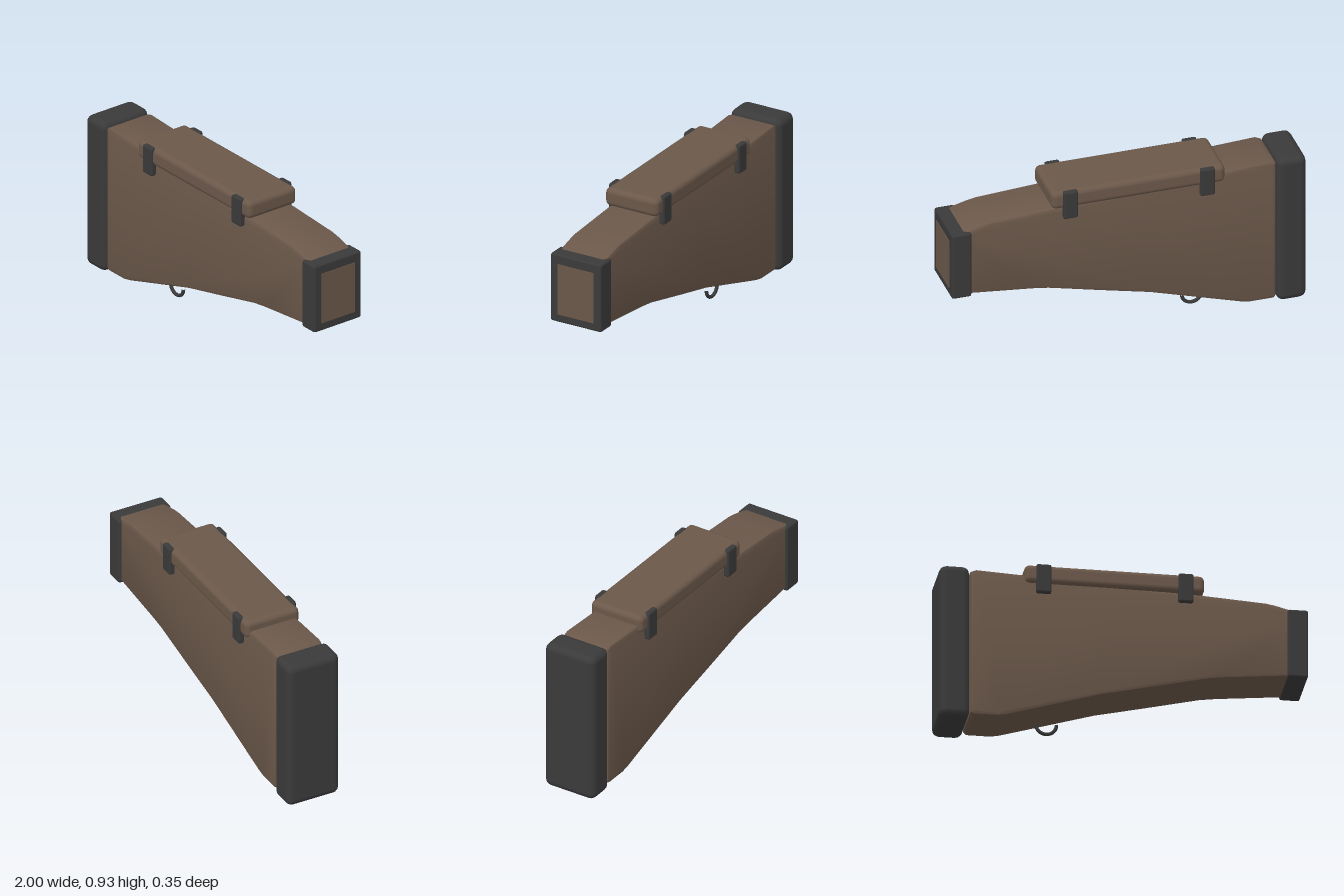
import * as THREE from 'three';
import { RoundedBoxGeometry } from 'three/addons/geometries/RoundedBoxGeometry.js';
import { toCreasedNormals } from 'three/addons/utils/BufferGeometryUtils.js';

export function createModel() {
  const group = new THREE.Group();
  group.name = 'stock';
  const brown = new THREE.MeshStandardMaterial({ name: 'brown polymer', color: 0x6b584a });
  const dark = new THREE.MeshStandardMaterial({ name: 'dark rubber', color: 0x3a3a3a });

  const add = (name, geometry, material) => {
    const mesh = new THREE.Mesh(geometry, material);
    mesh.name = name;
    group.add(mesh);
    return mesh;
  };
  // Rounded box given by its limits; z is mirrored when z0 = -z1
  const box = (name, material, [x0, x1], [y0, y1], [z0, z1], radius, segments = 2) => {
    const g = new RoundedBoxGeometry(x1 - x0, y1 - y0, z1 - z0, segments, radius);
    return add(name, g.translate((x0 + x1) / 2, (y0 + y1) / 2, (z0 + z1) / 2), material);
  };

  // Tapered body: side profile extruded across the width with a soft bevel
  const profile = [
    [-0.83, 0.05], [-0.815, 0.036], [-0.68, 0.036], [-0.63, 0.046], [-0.12, 0.2],
    [0.15, 0.262], [0.45, 0.333], [0.54, 0.346], [0.95, 0.388],
    [0.95, 0.765], [0.9, 0.778], [0.82, 0.799], [0.77, 0.808], [0.43, 0.829],
    [0.0, 0.845], [-0.54, 0.88], [-0.8, 0.893], [-0.83, 0.88],
  ].map(([x, y]) => new THREE.Vector2(x, y));
  const bevel = 0.018;
  const width = 0.29;
  const body = new THREE.ExtrudeGeometry(new THREE.Shape(profile), {
    depth: width - 2 * bevel, bevelEnabled: true, bevelSize: bevel, bevelThickness: bevel,
    bevelOffset: -bevel, bevelSegments: 2,
  });
  body.translate(0, 0, bevel - width / 2);
  add('body', toCreasedNormals(body, 0.6), brown);

  // Butt pad at the rear
  box('buttPad', dark, [-1, -0.835], [0.015, 0.905], [-0.16, 0.16], 0.04);

  // Front collar with a flat plate in its face
  box('frontCollar', dark, [0.885, 0.997], [0.375, 0.772], [-0.16, 0.16], 0.012, 1);
  const plate = add('frontPlate', new THREE.BoxGeometry(0.006, 0.295, 0.226), brown);
  plate.position.set(0.997, 0.57, 0);

  // Cheek rest and its four clips
  box('cheekRest', brown, [-0.54, 0.435], [0.83, 0.935], [-0.165, 0.165], 0.03, 3);
  for (const x of [-0.437, 0.333]) {
    for (const side of [-1, 1]) {
      const z = [0.14 * side, 0.176 * side].sort((a, b) => a - b);
      box('cheekRestClip', dark, [x - 0.041, x + 0.041], [0.77, 0.935], z, 0.01, 1);
    }
  }

  // Sling loop: half ring under the body
  const loop = add('slingLoop', new THREE.TorusGeometry(0.056, 0.01, 8, 16, Math.PI), dark);
  loop.rotation.z = Math.PI;
  loop.position.set(-0.4, 0.067, 0);

  return group;
}
